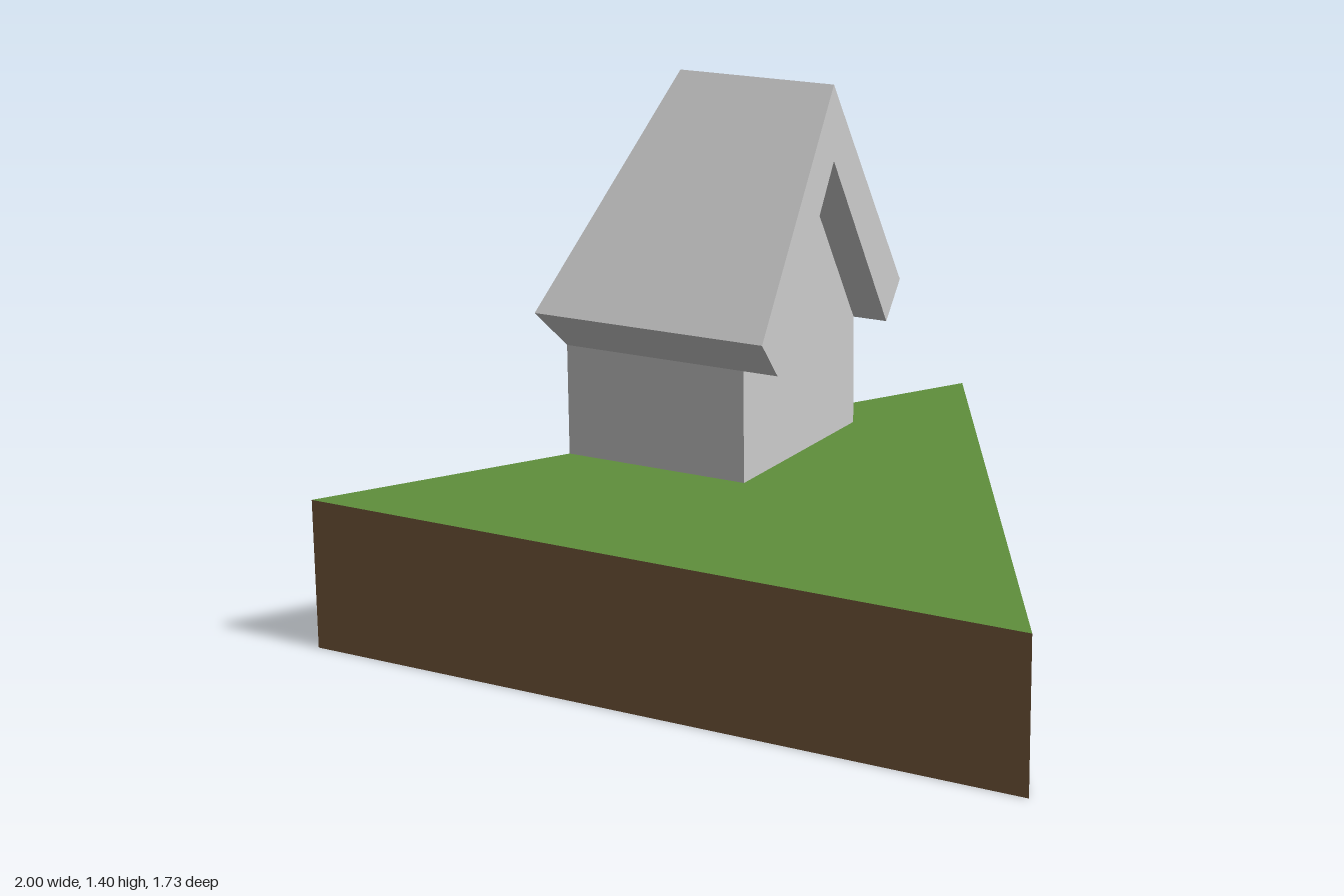
import * as THREE from 'three';

const HALF_DEPTH = Math.sqrt(3) / 2;   // the tile is an equilateral triangle with sides of 2
const TOP = 0.4;                       // tile height
const GABLE_X = -0.1, ROOF_X = 0;      // gable wall and roof overhang
const FRONT = 0.23, BACK = -0.38, RIDGE = -0.075;

// x of the tile's slanted edge, which slices the house open
const cutX = (z) => -(z + HALF_DEPTH) / Math.sqrt(3);

const material = (color) =>
  new THREE.MeshStandardMaterial({ color, side: THREE.DoubleSide, flatShading: true });

// Sweeps a [z, y] profile along x, from startX(z) to endX
function strip(profile, startX, endX) {
  const pos = [];
  for (let i = 0; i < profile.length - 1; i++) {
    const [za, ya] = profile[i], [zb, yb] = profile[i + 1];
    const a = [startX(za), ya, za], b = [endX, ya, za];
    const c = [endX, yb, zb], d = [startX(zb), yb, zb];
    pos.push(...a, ...b, ...c, ...a, ...c, ...d);
  }
  const geo = new THREE.BufferGeometry();
  geo.setAttribute('position', new THREE.Float32BufferAttribute(pos, 3));
  geo.computeVertexNormals();
  return geo;
}

const flat = (points) => new THREE.ShapeGeometry(new THREE.Shape(points.map(([x, y]) => new THREE.Vector2(x, y))));

// Flat [z, y] outline facing +x
const sideFace = (outline, x) =>
  flat(outline.map(([z, y]) => [-z, y])).rotateY(Math.PI / 2).translate(x, 0, 0);

// Flat [x, z] outline facing up
const topFace = (outline, y) =>
  flat(outline.map(([x, z]) => [x, -z])).rotateX(-Math.PI / 2).translate(0, y, 0);

export function createModel() {
  const model = new THREE.Group();
  const grey = material(0xcccccc), earth = material(0x7a5c3e), grass = material(0x5f8f3c);
  const add = (parent, name, geo, mat) => {
    const mesh = new THREE.Mesh(geo, mat);
    mesh.name = name;
    parent.add(mesh);
  };

  // Hollow earth tile
  const tile = new THREE.Group();
  tile.name = 'tile';
  const sides = new THREE.CylinderGeometry(2 / Math.sqrt(3), 2 / Math.sqrt(3), TOP, 3, 1, true)
    .rotateY(Math.PI).translate(0, TOP / 2, HALF_DEPTH / 3).toNonIndexed();
  sides.computeVertexNormals();
  add(tile, 'earthSides', sides, earth);
  const corners = [[0, -HALF_DEPTH], [-1, HALF_DEPTH], [1, HALF_DEPTH]];
  const bottom = flat(corners).rotateX(Math.PI / 2);
  add(tile, 'earthBottom', bottom, earth);

  // Grass, left open beneath the house
  add(tile, 'grass', topFace([
    ...corners.slice(2), corners[0],
    [cutX(BACK), BACK], [GABLE_X, BACK], [GABLE_X, FRONT], [cutX(FRONT), FRONT],
    corners[1],
  ], TOP), grass);

  // Walls reach up inside the eaves
  const house = new THREE.Group();
  house.name = 'house';
  add(house, 'frontWall', strip([[FRONT, TOP], [FRONT, 0.8]], cutX, GABLE_X), grey);
  add(house, 'backWall', strip([[BACK, 0.8], [BACK, TOP]], cutX, GABLE_X), grey);
  add(house, 'gableWall', sideFace([
    [FRONT, TOP], [BACK, TOP], [BACK, 0.8], [BACK + 0.06, 0.8],
    [RIDGE, 1.2], [FRONT - 0.06, 0.8], [FRONT, 0.8],
  ], GABLE_X), grey);

  // Roof shell with soffits, gable edge and overhang underside
  const outer = [[FRONT, 0.7], [0.31, 0.8], [RIDGE, 1.4], [-0.46, 0.8], [BACK, 0.7]];
  const inner = [[BACK, 0.7], [RIDGE, 1.2], [FRONT, 0.7]];
  add(house, 'roofShell', strip(outer, cutX, ROOF_X), grey);
  add(house, 'roofEdge', sideFace([...outer, inner[1]], ROOF_X), grey);
  add(house, 'overhangUnderside', strip(inner, () => GABLE_X, ROOF_X), grey);

  model.add(tile, house);
  return model;
}
